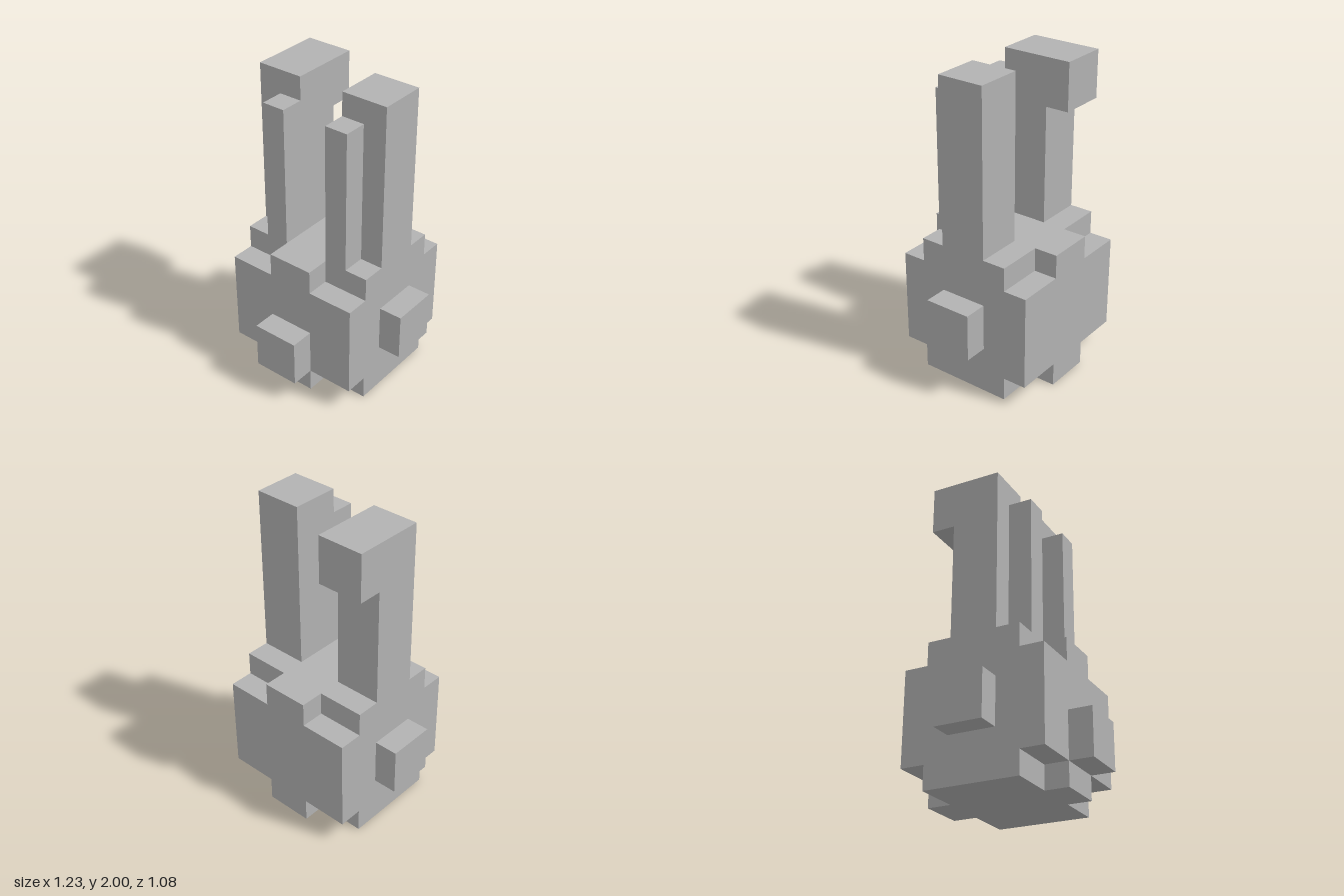
import * as THREE from 'three';

// Everything sits on a block grid: 13 blocks make the full height of 2.
const U = 2 / 13;

export function createModel() {
  const model = new THREE.Group();
  model.name = 'blockRabbit';
  const grey = new THREE.MeshStandardMaterial({ color: 0xb2b2b2 });
  grey.name = 'grey';

  // Box from its lower and upper bounds, in blocks
  const block = (name, [x0, x1], [y0, y1], [z0, z1]) => {
    const geometry = new THREE.BoxGeometry((x1 - x0) * U, (y1 - y0) * U, (z1 - z0) * U);
    const mesh = new THREE.Mesh(geometry, grey);
    mesh.name = name;
    mesh.position.set((x0 + x1) / 2, (y0 + y1) / 2, (z0 + z1) / 2).multiplyScalar(U);
    model.add(mesh);
  };

  // The same box on both sides of the model
  const pair = (name, [x0, x1], y, z) => {
    block('left' + name, [x0, x1], y, z);
    block('right' + name, [-x1, -x0], y, z);
  };

  // Body: full slab between two layers with notched corners
  block('body', [-3, 3], [1, 5], [-3.5, 2.5]);
  for (const [name, y] of [['Base', [0, 1]], ['Crown', [5, 6]]]) {
    block('middle' + name, [-1, 1], y, [-3.5, 2.5]);
    pair(name, [1, 3], y, [-2.5, 1.5]);
  }

  // Snout and arms
  block('snout', [-1, 1], [1, 3], [2.5, 3.5]);
  pair('Arm', [3, 4], [2, 4], [-1.5, 0.5]);

  // Ears with a ridge in front; the right one folds back at the tip
  pair('Ear', [1, 3], [6, 13], [-1.5, 0.5]);
  pair('EarRidge', [1, 2], [6, 12], [0.5, 1.5]);
  block('rightEarTip', [-3, -1], [11, 13], [-2.5, -1.5]);

  return model;
}
